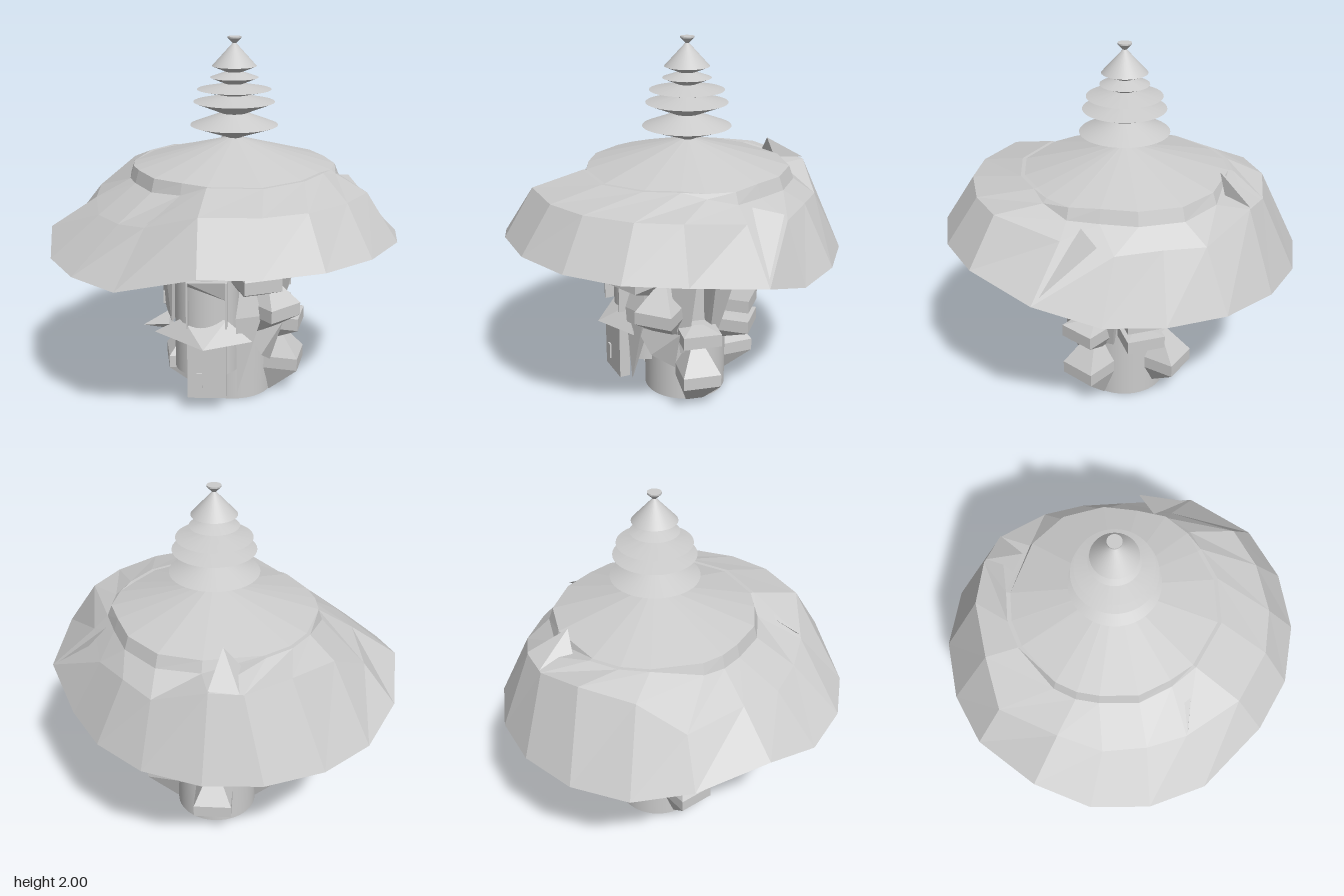
import * as THREE from 'three';
import { toCreasedNormals } from 'three/addons/utils/BufferGeometryUtils.js';
import { ConvexGeometry } from 'three/addons/geometries/ConvexGeometry.js';

const CX = 0.045, CZ = -0.045; // axis of the tower
const V = (x, y, z) => new THREE.Vector3(x, y, z);

export function createModel() {
  const model = new THREE.Group();
  const smooth = new THREE.MeshStandardMaterial({ color: 0xcccccc, side: THREE.DoubleSide });
  const flat = new THREE.MeshStandardMaterial({ color: 0xcccccc, side: THREE.DoubleSide, flatShading: true });

  const add = (name, geometry, material = flat, x = 0, y = 0, z = 0) => {
    const mesh = new THREE.Mesh(geometry, material);
    mesh.name = name;
    mesh.position.set(x, y, z);
    model.add(mesh);
    return mesh;
  };
  // faceted solid around a handful of corners
  const shard = (name, ...pts) => add(name, new ConvexGeometry(pts.map(p => V(...p))));
  const box = (name, x0, x1, y0, y1, z0, z1) =>
    add(name, new THREE.BoxGeometry(x1 - x0, y1 - y0, z1 - z0), flat, (x0 + x1) / 2, (y0 + y1) / 2, (z0 + z1) / 2);
  const lathe = (points, sides) => new THREE.LatheGeometry(points.map(p => new THREE.Vector2(...p)), sides);

  // trunk, the slimmer turret behind the door and window, and the flared soffit under the roof
  add('trunk', new THREE.CylinderGeometry(0.23, 0.23, 0.98, 48), smooth, CX, 0.49, CZ);
  add('turret', new THREE.CylinderGeometry(0.18, 0.18, 0.76, 40), smooth, -0.09, 0.58, 0.14);
  add('soffit', lathe([[0.23, 0.95], [0.33, 0.99], [0.5, 1.27]], 18), flat, CX, 0, CZ);

  // stacked disc finial
  const profile = [[0.03, 1.46], [0.238, 1.53], [0.07, 1.595], [0.22, 1.655], [0.06, 1.69], [0.2, 1.722],
    [0.05, 1.752], [0.13, 1.785], [0.045, 1.815], [0.12, 1.845], [0.01, 1.965], [0.037, 1.992], [0.037, 2], [0, 2]];
  add('finial', toCreasedNormals(lathe(profile, 40), 0.5), smooth, 0.05, 0, -0.05);

  // roof: rim, shoulder and a stepped inner ring, eighteen sectors from the back clockwise
  const rim = [
    [-0.2, 0.83, -0.94], [0.1, 0.83, -0.94], [0.4, 0.83, -0.83], [0.64, 0.83, -0.62], [0.8, 0.83, -0.35],
    [0.95, 0.94, -0.05], [0.9, 1, 0.35], [0.74, 1, 0.62], [0.5, 1, 0.82], [0.2, 1, 0.93], [-0.1, 1, 0.93],
    [-0.5, 0.89, 0.82], [-0.74, 0.89, 0.62], [-0.9, 0.89, 0.35], [-0.955, 0.97, 0.04], [-0.9, 0.9, -0.35],
    [-0.74, 0.83, -0.62], [-0.5, 0.83, -0.83]];
  const shoulder = [
    [-0.1, 1.25, -0.78], [0.07, 1.26, -0.78], [0.35, 1.15, -0.68], [0.5, 1.16, -0.52], [0.64, 1.14, -0.33],
    [0.7, 1.18, -0.06], [0.74, 1.25, 0.3], [0.62, 1.25, 0.5], [0.42, 1.25, 0.68], [0.2, 1.25, 0.77],
    [-0.1, 1.25, 0.77], [-0.37, 1.15, 0.62], [-0.52, 1.12, 0.47], [-0.65, 1.11, 0.28], [-0.7, 1.14, 0.04],
    [-0.73, 1.12, -0.3], [-0.55, 1.25, -0.48], [-0.33, 1.28, -0.68]];
  // x, z and drop of the step
  const step = [
    [-0.2, -0.54, 0], [0.1, -0.59, 0.06], [0.32, -0.53, 0.07], [0.48, -0.37, 0.07], [0.55, -0.2, 0.07],
    [0.6, -0.05, 0.06], [0.57, 0.1, 0.02], [0.5, 0.2, 0], [0.4, 0.35, 0], [0.2, 0.48, 0], [-0.07, 0.48, 0],
    [-0.2, 0.42, 0.06], [-0.35, 0.32, 0.07], [-0.45, 0.15, 0.07], [-0.49, 0.04, 0.07], [-0.5, -0.08, 0.06],
    [-0.42, -0.33, 0], [-0.33, -0.45, 0]];
  const coneY = (x, z) => 1.455 - 0.25 * Math.hypot(x - 0.05, z + 0.05);
  const low = step.map(([x, z, d]) => [x * 1.04, coneY(x, z) - d, z * 1.04]);
  const high = step.map(([x, z]) => [x, coneY(x, z), z]);
  const apex = step.map(([x, z]) => [0.05 + x * 0.07, 1.46, -0.05 + z * 0.07]);
  const rings = [rim, shoulder, low, high, apex], n = rim.length, roof = [];
  for (let r = 0; r < rings.length - 1; r++) {
    const a = rings[r], b = rings[r + 1];
    for (let i = 0; i < n; i++) {
      const j = (i + 1) % n;
      roof.push(...a[j], ...a[i], ...b[i], ...a[j], ...b[i], ...b[j]);
    }
  }
  const roofGeometry = new THREE.BufferGeometry();
  roofGeometry.setAttribute('position', new THREE.Float32BufferAttribute(roof, 3));
  roofGeometry.computeVertexNormals();
  add('roof', roofGeometry);

  // jagged shards rising from the roof
  shard('roofShard', [-0.08, 1.25, -0.78], [0.07, 1.27, -0.78], [0.0, 1.39, -0.58], [-0.1, 1.28, -0.6], [0.02, 1.28, -0.62]);
  shard('roofShard', [0.7, 1.2, -0.27], [0.58, 1.25, -0.06], [0.93, 0.95, -0.05], [0.72, 1.1, -0.08]);
  shard('roofShard', [-0.07, 1.31, 0.48], [-0.36, 1.17, 0.62], [-0.2, 1.25, 0.5], [-0.22, 1.18, 0.56]);

  // brackets: a block on the trunk, tapering above and below; x, y, z, rise, drop
  const brackets = [
    [0.19, 0.765, 0.34, 0.14, 0.11], [0.29, 0.57, 0.23, 0.15, 0.15], [0.36, 0.435, 0.02, 0.05, 0.12],
    [0.36, 0.19, 0.02, 0.18, 0.19], [0.06, 0.2, -0.35, 0.18, 0.15], [-0.11, 0.7, -0.36, 0.12, 0.1],
    [0.26, 0.435, -0.28, 0.04, 0.1], [0.26, 0.56, -0.28, 0.25, 0.05], [-0.25, 0.19, 0.0, 0.18, 0.19],
    [-0.27, 0.57, -0.03, 0.2, 0.14]];
  for (const [x, y, z, rise, drop] of brackets) {
    const corners = [];
    const reach = Math.hypot(x - CX, z - CZ), inner = reach - 0.14, outer = reach + 0.075;
    for (const s of [-1, 1]) {
      for (const dy of [-0.035, 0.035])
        for (const r of [inner, outer]) corners.push(V(s * 0.105, dy, r));
      corners.push(V(s * 0.03, rise, reach - 0.04), V(s * 0.05, -drop, reach - 0.09));
      corners.push(V(s * 0.03, rise, inner), V(s * 0.05, -drop, inner));
    }
    add('bracket', new ConvexGeometry(corners), flat, CX, y, CZ).rotation.y = Math.atan2(x - CX, z - CZ);
  }

  // struts leaning out from the trunk to the eaves; angle, head radius, foot height
  const struts = [[0.55, 0.34, 0.35], [1.1, 0.38, 0.3], [1.77, 0.4, 0.35], [2.95, 0.38, 0.4],
    [-2.3, 0.34, 0.5], [-1.6, 0.33, 0.35]];
  for (const [angle, head, foot] of struts) {
    const corners = [];
    for (const s of [-1, 1])
      corners.push(V(s * 0.085, 0.97, head), V(s * 0.085, 0.9, head), V(s * 0.085, 0.97, head - 0.12),
        V(s * 0.02, foot, 0.25), V(s * 0.02, foot, 0.2));
    add('strut', new ConvexGeometry(corners), flat, CX, 0, CZ).rotation.y = angle;
  }

  // front door, its handle, the window frame and the ledge between them
  box('door', -0.19, 0.02, 0.09, 0.42, 0.29, 0.35);
  box('doorHandle', -0.14, -0.11, 0.15, 0.24, 0.35, 0.36);
  for (const x of [-0.19, 0.02]) box('windowPost', x - 0.005, x + 0.005, 0.5, 0.76, 0.25, 0.35);
  shard('windowHood', [-0.19, 0.76, 0.35], [0.02, 0.76, 0.35], [-0.19, 0.76, 0.24], [0.02, 0.76, 0.24],
    [-0.19, 0.73, 0.32], [0.02, 0.65, 0.32]);
  shard('ledge', [-0.38, 0.415, 0.2], [0.16, 0.415, 0.32], [-0.1, 0.41, 0.43], [0.02, 0.53, 0.3],
    [-0.22, 0.52, 0.25], [-0.1, 0.4, 0.2]);
  shard('ledgeSpike', [-0.45, 0.42, 0.12], [-0.3, 0.46, 0.2], [-0.3, 0.5, 0.08], [-0.27, 0.41, 0.15]);

  // sharp blades beside the door
  shard('blade', [0.08, 0.1, 0.3], [0.07, 0.55, 0.33], [0.21, 0.55, 0.28], [0.12, 0.9, 0.24], [0.14, 0.5, 0.2]);
  shard('blade', [-0.34, 0.95, 0.12], [-0.27, 0.95, 0.2], [-0.34, 0.55, 0.05], [-0.29, 0.45, 0.15], [-0.25, 0.5, 0.16]);
  shard('blade', [-0.31, 0.42, 0.08], [-0.19, 0.42, 0.28], [-0.18, 0.01, 0.1], [-0.2, 0.3, 0.05]);
  shard('blade', [0.21, 0.3, 0.24], [0.14, 0.45, 0.3], [0.33, 0.45, 0.12], [0.26, 0.22, 0.12]);
  return model;
}
